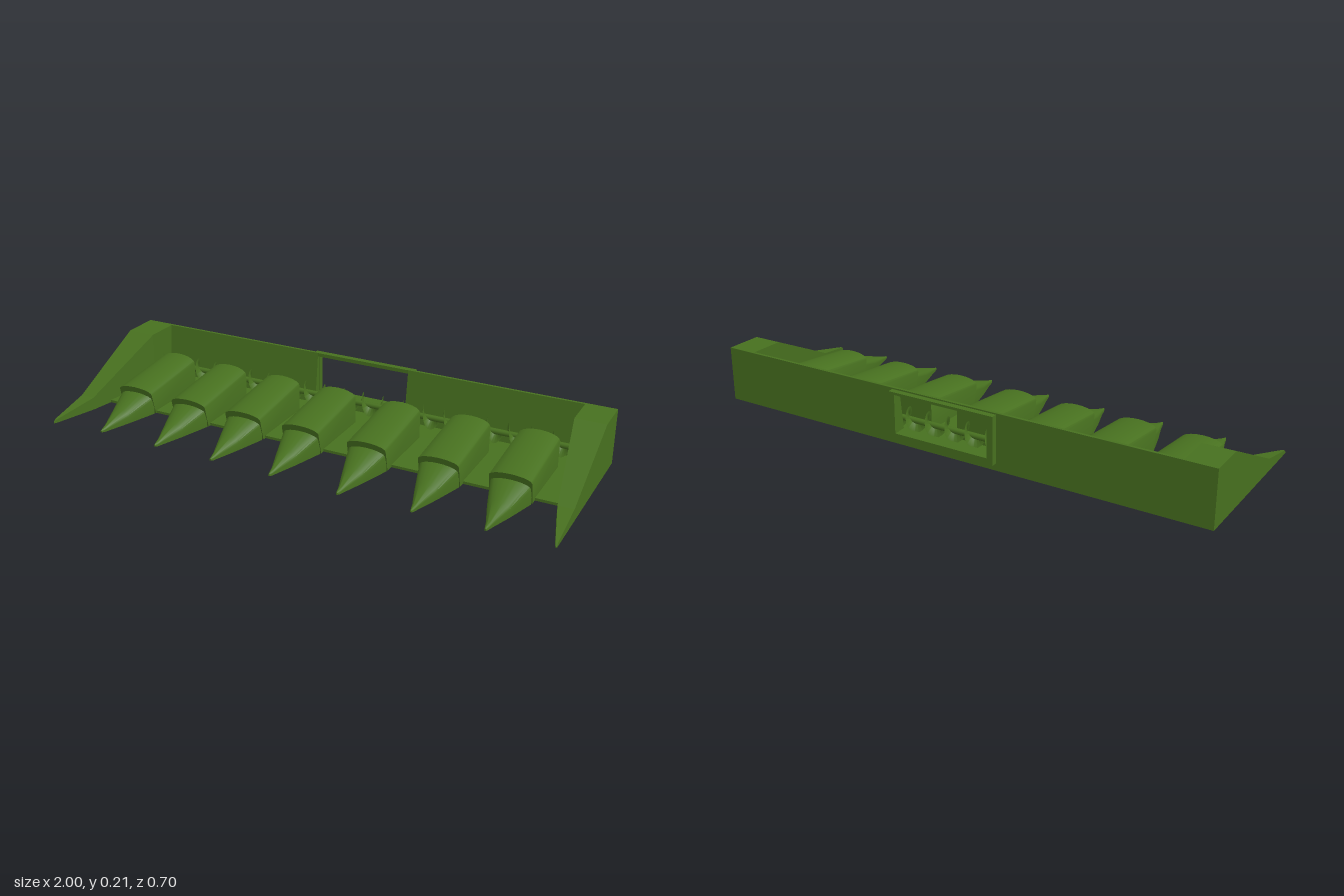
import * as THREE from 'three';
import { toCreasedNormals } from 'three/addons/utils/BufferGeometryUtils.js';
import { ParametricGeometry } from 'three/addons/geometries/ParametricGeometry.js';

const green = new THREE.MeshStandardMaterial({ color: 0x47701f });
const thinGreen = new THREE.MeshStandardMaterial({ color: 0x47701f, side: THREE.DoubleSide });

// Skin closed cross-sections (counter-clockwise seen from +z), ordered back to front
function loft(sections, crease = 0.5) {
  const n = sections[0].length, last = sections.length - 1, pos = [];
  const tri = (a, b, c) => pos.push(...a, ...b, ...c);
  for (let k = 0; k < last; k++) {
    for (let i = 0; i < n; i++) {
      const j = (i + 1) % n, p = sections[k], q = sections[k + 1];
      tri(p[i], p[j], q[i]);
      tri(p[j], q[j], q[i]);
    }
  }
  for (let i = 1; i < n - 1; i++) {
    tri(sections[last][0], sections[last][i], sections[last][i + 1]);
    tri(sections[0][0], sections[0][i + 1], sections[0][i]);
  }
  const g = new THREE.BufferGeometry();
  g.setAttribute('position', new THREE.Float32BufferAttribute(pos, 3));
  return toCreasedNormals(g, crease);
}

// Upright-sided section with an arched top; lean tilts it back towards the ground
function arch(z, halfWidth, bottom, shoulder, top, lean = 0) {
  const pts = [[halfWidth, bottom]];
  for (let i = 0; i <= 10; i++) {
    const a = Math.PI * i / 10;
    pts.push([halfWidth * Math.cos(a), shoulder + (top - shoulder) * Math.sin(a)]);
  }
  pts.push([-halfWidth, bottom]);
  return pts.map(([x, y]) => [x, y, z - (top - y) * lean]);
}

export function createModel() {
  const model = new THREE.Group();
  const add = (name, geometry, parent = model, material = green) => {
    const mesh = new THREE.Mesh(geometry, material);
    mesh.name = name;
    parent.add(mesh);
    return mesh;
  };
  const box = (name, x0, x1, y0, y1, z0, z1, parent) =>
    add(name, new THREE.BoxGeometry(x1 - x0, y1 - y0, z1 - z0), parent)
      .position.set((x0 + x1) / 2, (y0 + y1) / 2, (z0 + z1) / 2);

  // Floor pan
  box('floor', -0.99, 0.99, 0, 0.01, -0.32, 0.07);

  // Back wall with a sloping inner face, in pieces around the feed opening
  const zFace = y => -0.29 - 0.026 * y / 0.213;
  const wall = (name, x0, x1, y0, y1) => {
    const section = z => [[x1, y0, z(y0)], [x1, y1, z(y1)], [x0, y1, z(y1)], [x0, y0, z(y0)]];
    add(name, loft([section(() => -0.327), section(zFace)]));
  };
  wall('backWallRight', -0.9, -0.188, 0, 0.213);
  wall('backWallLeft', 0.2, 0.9, 0, 0.213);
  wall('feedSill', -0.188, 0.2, 0, 0.05);
  box('feedLintel', -0.188, 0.2, 0.199, 0.213, -0.327, -0.315);

  // Feed frame standing out behind the wall
  const frame = new THREE.Shape();
  frame.moveTo(-0.21, 0.027).lineTo(0.222, 0.027).lineTo(0.222, 0.208).lineTo(-0.21, 0.208).closePath();
  const hole = new THREE.Path();
  hole.moveTo(-0.186, 0.05).lineTo(-0.186, 0.198).lineTo(0.198, 0.198).lineTo(0.198, 0.05).closePath();
  frame.holes.push(hole);
  add('feedFrame', new THREE.ExtrudeGeometry(frame, { depth: 0.025, bevelEnabled: false }))
    .position.z = -0.35;

  // Tapering end dividers: z, height, inner x
  const stations = [
    [-0.327, 0.213, 0.885], [-0.182, 0.213, 0.885], [0.157, 0.05, 0.943],
    [0.325, 0.014, 0.991], [0.335, 0.004, 0.996],
  ];
  for (const side of [1, -1]) {
    const sections = stations.map(([z, h, x]) => {
      const s = [[side, 0, z], [side, h, z], [side * x, h, z], [side * x, 0, z]];
      return side > 0 ? s : s.reverse();
    });
    add(side > 0 ? 'leftEndDivider' : 'rightEndDivider', loft(sections, 0.1));
  }

  // Row snouts: centre x, front z of the hood
  const bodyGeometry = loft([
    arch(-0.31, 0.076, 0, 0.112, 0.14),
    arch(0, 0.076, 0, 0.084, 0.106, 0.25),
  ]);
  const noseGeometry = loft([
    arch(-0.02, 0.074, 0, 0.064, 0.087),
    arch(0.1, 0.04, 0, 0.026, 0.05),
    arch(0.185, 0.012, 0, 0.01, 0.022),
    arch(0.21, 0.006, 0.001, 0.008, 0.015),
    arch(0.222, 0.003, 0.004, 0.008, 0.012),
  ], 0.7);
  const rows = [
    [-0.781, 0.1], [-0.53, 0.108], [-0.285, 0.11], [-0.038, 0.115],
    [0.235, 0.128], [0.507, 0.122], [0.766, 0.122],
  ];
  for (const [x, z] of rows) {
    const snout = new THREE.Group();
    snout.name = 'rowSnout';
    snout.position.set(x, 0, z);
    add('snoutHood', bodyGeometry, snout);
    add('snoutNose', noseGeometry, snout);
    model.add(snout);
  }

  // Cross auger: shaft with a spiral flight
  const auger = new THREE.Group();
  auger.name = 'crossAuger';
  auger.position.set(0, 0.068, -0.25);
  const length = 1.77, turns = 21;
  add('augerShaft', new THREE.CylinderGeometry(0.011, 0.011, length, 12).rotateZ(Math.PI / 2), auger);
  add('augerFlight', new ParametricGeometry((u, v, p) => {
    const a = u * turns * Math.PI * 2, r = 0.008 + 0.037 * v;
    p.set((u - 0.5) * length, r * Math.cos(a), r * Math.sin(a));
  }, turns * 16, 1), auger, thinGreen);
  model.add(auger);

  return model;
}
